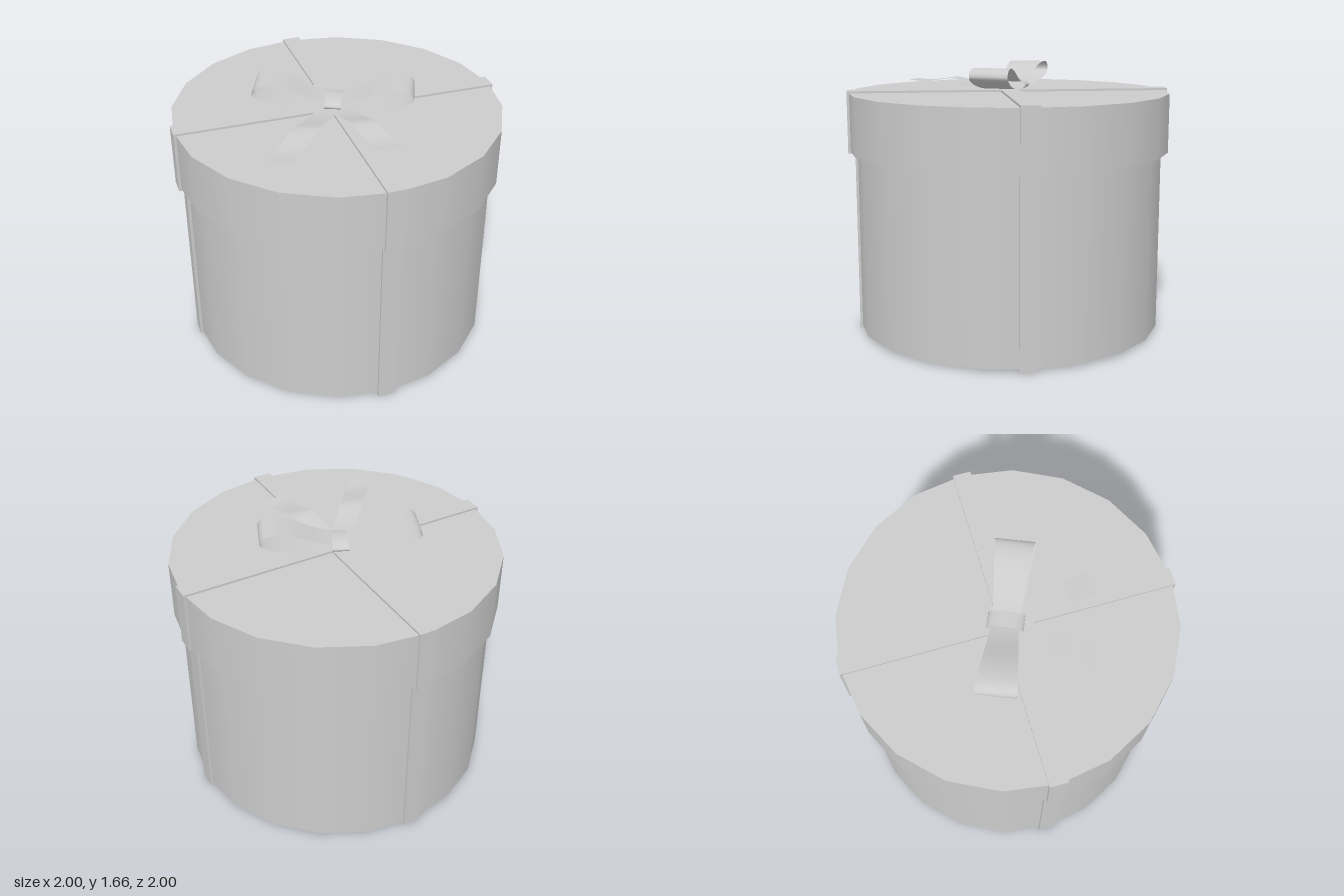
import * as THREE from 'three';

const material = new THREE.MeshStandardMaterial({ color: 0xcccccc });
const clothMaterial = new THREE.MeshStandardMaterial({ color: 0xcccccc, side: THREE.DoubleSide });

function addMesh(parent, name, geometry, mat = material) {
  const mesh = new THREE.Mesh(geometry, mat);
  mesh.name = name;
  parent.add(mesh);
  return mesh;
}

// Flat cloth strip along a smooth path; side(t) gives the half-width vector
function clothStrip(points, side, steps, closed = false) {
  const curve = new THREE.CatmullRomCurve3(points.map(p => new THREE.Vector3(...p)), closed);
  const positions = [], indices = [];
  for (let i = 0; i <= steps; i++) {
    const p = curve.getPoint(i / steps);
    const s = side(p, i / steps);
    positions.push(p.x - s.x, p.y - s.y, p.z - s.z, p.x + s.x, p.y + s.y, p.z + s.z);
    if (i < steps) {
      const a = i * 2;
      indices.push(a, a + 1, a + 2, a + 1, a + 3, a + 2);
    }
  }
  const geometry = new THREE.BufferGeometry();
  geometry.setAttribute('position', new THREE.Float32BufferAttribute(positions, 3));
  geometry.setIndex(indices);
  geometry.computeVertexNormals();
  return geometry;
}

// Closed band wrapped around the stepped box profile
function ribbonGeometry() {
  const outline = (bottom, bodyR, step, lidR, top) => [
    [-bodyR, bottom], [bodyR, bottom], [bodyR, step], [lidR, step],
    [lidR, top], [-lidR, top], [-lidR, step], [-bodyR, step],
  ].map(p => new THREE.Vector2(...p));
  const shape = new THREE.Shape(outline(0, 0.957, 1.12, 1.0, 1.503));
  shape.holes.push(new THREE.Path(outline(0.03, 0.92, 1.15, 0.965, 1.475).reverse()));
  const geometry = new THREE.ExtrudeGeometry(shape, { depth: 0.11, bevelEnabled: false });
  return geometry.translate(0, 0, -0.055);
}

export function createModel() {
  const model = new THREE.Group();
  model.name = 'giftBox';

  // Round box and lid
  addMesh(model, 'boxBody', new THREE.CylinderGeometry(0.95, 0.95, 1.13, 20)).position.y = 0.585;
  addMesh(model, 'lid', new THREE.CylinderGeometry(0.993, 0.993, 0.36, 20)).position.y = 1.31;

  // Two crossing ribbons
  const ribbon = ribbonGeometry();
  addMesh(model, 'ribbonAcross', ribbon);
  addMesh(model, 'ribbonFrontToBack', ribbon).rotation.y = Math.PI / 2;

  // Bow turned slightly on the lid
  const bow = new THREE.Group();
  bow.name = 'bow';
  bow.position.set(-0.015, 0, -0.015);
  bow.rotation.y = -0.4;
  model.add(bow);

  // Loops, widening from the knot to the tip
  const loopProfile = [
    [0.01, 1.55], [0.12, 1.575], [0.28, 1.635], [0.4, 1.655], [0.46, 1.64],
    [0.477, 1.6], [0.42, 1.565], [0.3, 1.532], [0.15, 1.515], [0.01, 1.512],
  ];
  for (const [name, dir] of [['leftLoop', 1], ['rightLoop', -1]]) {
    const side = p => new THREE.Vector3(0, 0, 0.075 + 0.042 * Math.min(1, Math.abs(p.x) / 0.45));
    const path = loopProfile.map(([d, y]) => [d * dir, y, 0]);
    addMesh(bow, name, clothStrip(path, side, 28), clothMaterial);
  }

  // Knot band around the middle
  const knotPath = [[0, 1.505, 0.07], [0, 1.53, 0.107], [0, 1.558, 0.07], [0, 1.568, 0],
    [0, 1.558, -0.07], [0, 1.53, -0.107], [0, 1.505, -0.07]];
  addMesh(bow, 'knot', clothStrip(knotPath, () => new THREE.Vector3(0.049, 0, 0), 24, true), clothMaterial);

  // Loose wavy tails, from the start edge to the end edge
  const tails = [
    ['leftTail', [-0.04, 0.02], [0.065, 0.14], [0.0975, 0.64], [0.0775, 0.01]],
    ['rightTail', [-0.05, 0.03], [-0.095, 0.09], [-0.515, 0.58], [0.075, 0.03]],
  ];
  const wave = [1.512, 1.515, 1.532, 1.556, 1.542, 1.528, 1.532];
  for (const [name, root, , end, halfEnd] of tails) {
    const start = name === 'leftTail' ? [-0.005, 0.04] : root;
    const path = wave.map((y, i) => {
      const t = i / (wave.length - 1);
      return [start[0] + (end[0] - start[0]) * t, y, start[1] + (end[1] - start[1]) * t];
    });
    const side = (p, t) => new THREE.Vector3(halfEnd[0], 0, halfEnd[1]).multiplyScalar(0.78 + 0.22 * t);
    addMesh(model, name, clothStrip(path, side, 18), clothMaterial);
  }

  return model;
}
